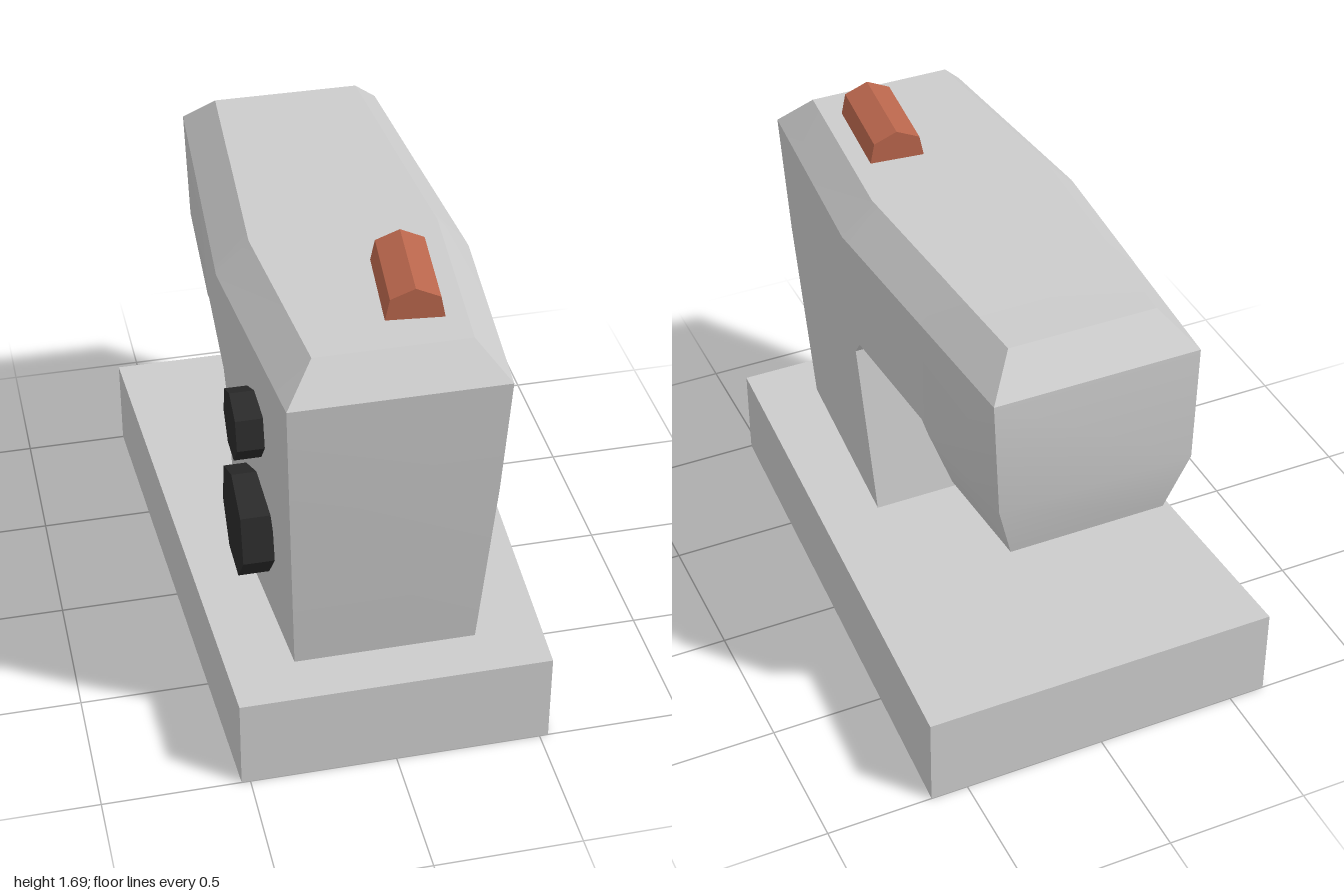
import * as THREE from 'three';
import { toCreasedNormals } from 'three/addons/utils/BufferGeometryUtils.js';

const grey = new THREE.MeshStandardMaterial({ color: 0xcccccc, flatShading: true });
const smoothGrey = new THREE.MeshStandardMaterial({ color: 0xcccccc });
const black = new THREE.MeshStandardMaterial({ color: 0x2a2a2a, flatShading: true });
const brown = new THREE.MeshStandardMaterial({ color: 0xb9664c, flatShading: true });

function addMesh(group, name, geometry, material) {
  const mesh = new THREE.Mesh(geometry, material);
  mesh.name = name;
  group.add(mesh);
  return mesh;
}

function extrude(points, depth) {
  const shape = new THREE.Shape(points.map(([x, y]) => new THREE.Vector2(x, y)));
  return new THREE.ExtrudeGeometry(shape, { depth, bevelEnabled: false });
}

// Skins mirrored cross-sections; each station lists [halfWidth, y, z] from bottom to top
function loft(stations) {
  const rings = stations.map((side) => [
    ...side,
    ...side.map(([x, y, z]) => [-x, y, z]).reverse(),
  ].map((p) => new THREE.Vector3(...p)));
  const positions = [];
  const triangle = (a, b, c) => {
    if (a.equals(b) || b.equals(c) || c.equals(a)) return;
    for (const p of [a, b, c]) positions.push(p.x, p.y, p.z);
  };
  const quad = (a, b, c, d) => { triangle(a, b, c); triangle(a, c, d); };
  const n = rings[0].length;
  for (let i = 0; i < rings.length - 1; i++) {
    for (let j = 0; j < n; j++) {
      const k = (j + 1) % n;
      quad(rings[i][j], rings[i + 1][j], rings[i + 1][k], rings[i][k]);
    }
  }
  // End caps, in bands between the two halves
  const first = rings[0], last = rings[rings.length - 1];
  for (let j = 0; j < n / 2 - 1; j++) {
    quad(first[j], first[j + 1], first[n - 2 - j], first[n - 1 - j]);
    quad(last[n - 1 - j], last[n - 2 - j], last[j + 1], last[j]);
  }
  const geometry = new THREE.BufferGeometry();
  geometry.setAttribute('position', new THREE.Float32BufferAttribute(positions, 3));
  return toCreasedNormals(geometry, 0.5);
}

export function createModel() {
  const model = new THREE.Group();
  model.name = 'sewingMachine';

  // Base slab, wider at the back
  const base = extrude([[-0.53, -1], [0.53, -1], [0.63, 1], [-0.63, 1]], 0.335);
  base.rotateX(-Math.PI / 2);
  addMesh(model, 'base', base, grey);

  // Pillar, arm and head in one skin: bottom, middle, shoulder, roof edge
  const pillarTop = [[0.425, 1.467, 0.17], [0.315, 1.584, 0.17]];
  const headTop = [[0.387, 1.471, -0.395], [0.279, 1.587, -0.395]];
  const notchFront = [0.4, 1.0, 0.15];
  const notchBack = [0.365, 1.02, -0.395];
  const arm = (bottom, shoulder, roof) => [bottom, bottom, shoulder, roof];
  const body = loft([
    [[0.31, 0.335, 0.82], [0.34, 1.03, 0.92], [0.355, 1.465, 0.965], [0.255, 1.58, 0.86]],
    [[0.365, 0.335, 0.08], notchFront, ...pillarTop],
    arm(notchFront, ...pillarTop),
    arm([0.4, 1.055, 0.11], [0.421, 1.468, 0.11], [0.311, 1.584, 0.11]),
    arm([0.37, 1.055, -0.355], [0.39, 1.471, -0.355], [0.281, 1.587, -0.355]),
    arm(notchBack, ...headTop),
    [[0.3, 0.83, -0.44], notchBack, ...headTop],
    [[0.275, 0.835, -0.845], [0.34, 1.06, -0.895], [0.355, 1.475, -0.885], [0.255, 1.59, -0.77]],
  ]);
  addMesh(model, 'body', body, smoothGrey);

  // Needle holder under the head
  const needle = addMesh(model, 'needleHolder', new THREE.CylinderGeometry(0.063, 0.034, 0.15, 5), grey);
  needle.position.set(0, 0.775, -0.635);

  // Thread spool on the roof, slightly turned
  const spool = extrude([[-0.095, 0], [0.095, 0], [0.08, 0.075], [0, 0.11], [-0.08, 0.075]], 0.35);
  spool.translate(0, 0, -0.175);
  const spoolMesh = addMesh(model, 'threadSpool', spool, brown);
  spoolMesh.position.set(0.12, 1.58, 0.547);
  spoolMesh.rotation.y = -0.1;

  // Seven-sided knobs on the right side: radius, outer x, inner x, y, z
  for (const [name, radius, outer, inner, y, z] of [
    ['handwheel', 0.19, -0.45, -0.345, 0.71, 0.5],
    ['stitchDial', 0.12, -0.46, -0.37, 1.155, 0.565],
  ]) {
    const knob = new THREE.CylinderGeometry(radius, radius, inner - outer, 7, 1, false, Math.PI / 2);
    knob.rotateZ(Math.PI / 2);
    addMesh(model, name, knob, black).position.set((outer + inner) / 2, y, z);
  }
  return model;
}
